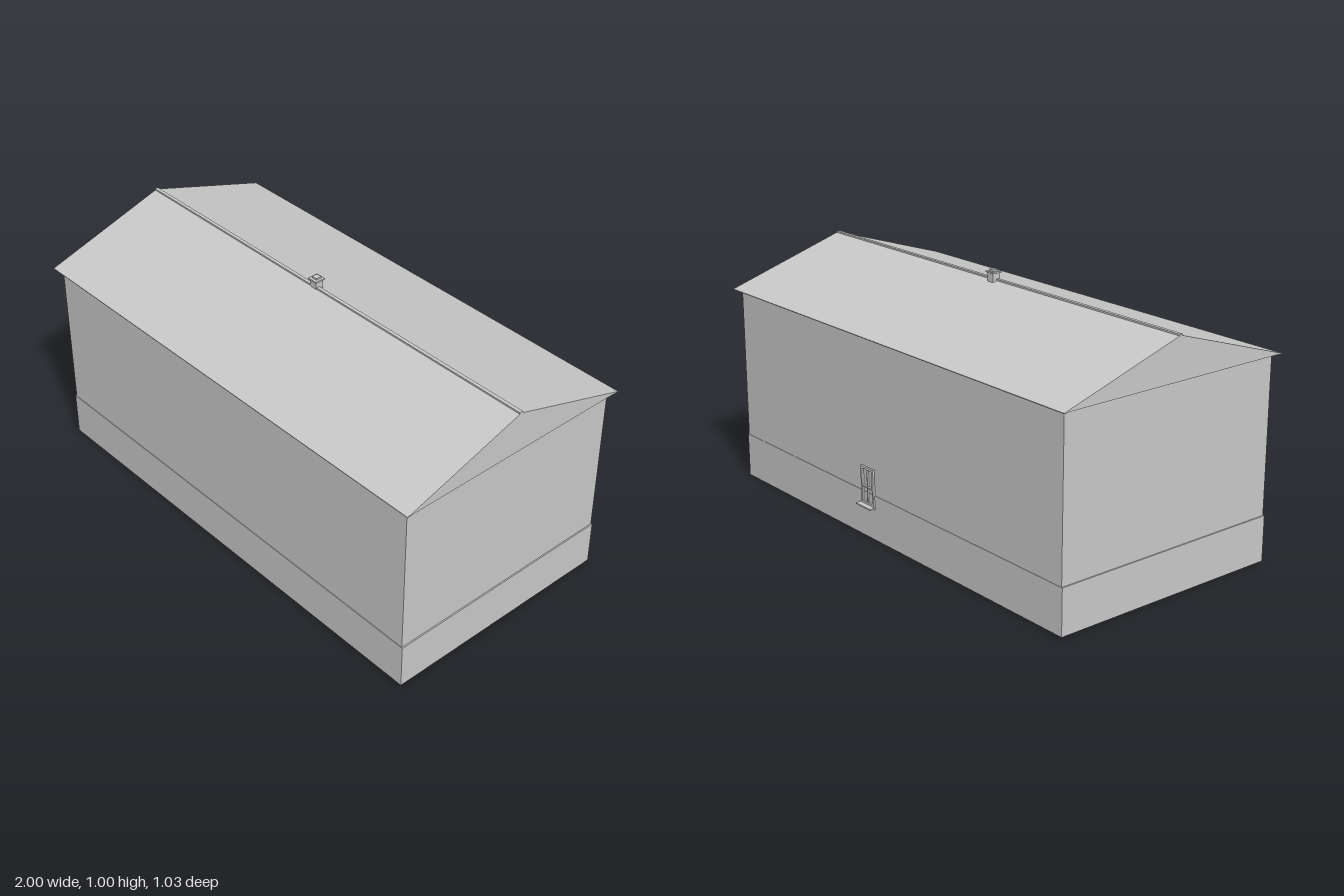
import * as THREE from 'three';

export function createModel() {
  const house = new THREE.Group();
  house.name = 'house';
  const grey = new THREE.MeshStandardMaterial({ color: 0xc8c8c8 });
  grey.name = 'plain grey';
  const zc = 0.002; // centre line of the building

  const add = (parent, name, geometry) => {
    const mesh = new THREE.Mesh(geometry, grey);
    mesh.name = name;
    parent.add(mesh);
    return mesh;
  };
  // box given by its two extreme corners
  const box = (parent, name, x0, x1, y0, y1, z0, z1) => {
    const mesh = add(parent, name, new THREE.BoxGeometry(x1 - x0, y1 - y0, z1 - z0));
    mesh.position.set((x0 + x1) / 2, (y0 + y1) / 2, (z0 + z1) / 2);
  };
  const group = (name) => {
    const g = new THREE.Group();
    g.name = name;
    house.add(g);
    return g;
  };

  // body
  box(house, 'plinth', -0.977, 0.977, 0, 0.18, zc - 0.4915, zc + 0.4925);
  box(house, 'walls', -0.972, 0.972, 0.18, 0.798, zc - 0.49, zc + 0.49);

  // gabled roof, extruded along x
  const profile = new THREE.Shape([
    [-0.515, 0.795], [-0.49, 0.798], [0.49, 0.798], [0.515, 0.795],
    [0.515, 0.798], [0, 0.96], [-0.515, 0.798],
  ].map(([z, y]) => new THREE.Vector2(z, y)));
  const roof = new THREE.ExtrudeGeometry(profile, { depth: 2, bevelEnabled: false });
  roof.translate(0, 0, -1).rotateY(Math.PI / 2).translate(0, 0, zc);
  add(house, 'roof', roof);
  box(house, 'ridgeCap', -1, 1, 0.953, 0.964, zc - 0.007, zc + 0.007);

  // chimney
  const chimney = group('chimney');
  box(chimney, 'chimneyShaft', -0.05, -0.017, 0.93, 0.988, -0.022, 0.011);
  box(chimney, 'chimneyCap', -0.055, -0.012, 0.987, 0.993, -0.027, 0.017);
  box(chimney, 'chimneyTop', -0.045, -0.022, 0.993, 1.0, -0.018, 0.006);

  // back window
  const windowGroup = group('window');
  const zw = -0.485, zf = -0.496;
  for (const x of [0.08, 0.15]) box(windowGroup, 'windowJamb', x, x + 0.009, 0.134, 0.282, zf, zw);
  for (const y of [0.134, 0.273]) box(windowGroup, 'windowRail', 0.089, 0.15, y, y + 0.009, zf, zw);
  box(windowGroup, 'windowMullion', 0.1175, 0.1215, 0.143, 0.273, zf + 0.001, zw);
  box(windowGroup, 'windowCrossbar', 0.089, 0.15, 0.201, 0.206, zf - 0.001, zw);
  box(windowGroup, 'windowSill', 0.074, 0.165, 0.128, 0.134, -0.517, zw);

  return house;
}
